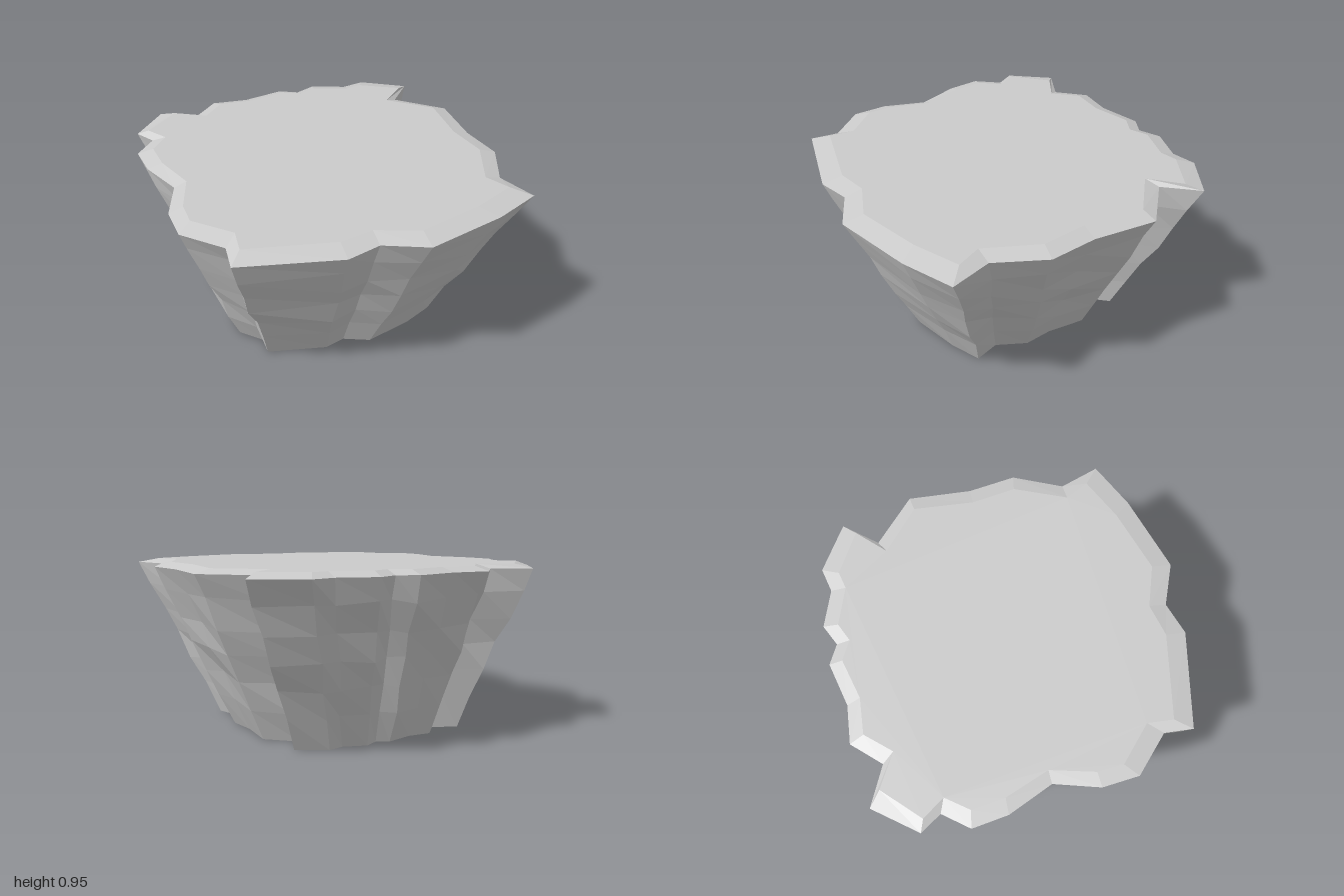
import * as THREE from 'three';

// Jagged outline of the rim, as [x, z], clockwise seen from above
const RIM = [
  [-0.795, -0.89], [-0.58, -0.79], [-0.44, -0.945], [-0.225, -0.93], [0.025, -0.995],
  [0.135, -0.94], [0.255, -1], [0.465, -0.93], [0.605, -0.965], [0.865, -0.81],
  [0.715, -0.625], [0.97, -0.4], [0.95, -0.04], [0.99, 0.23], [0.87, 0.505],
  [0.95, 0.73], [0.68, 0.86], [0.235, 0.995], [0, 0.9], [-0.185, 0.96],
  [-0.725, 0.85], [-0.715, 0.69], [-0.91, 0.505], [-0.93, 0.3], [-0.86, 0.05],
  [-0.97, -0.2], [-1, -0.4], [-0.895, -0.54], [-0.97, -0.655],
];

// Inner edge of the bevel, one point per rim point
const CAP = [
  [-0.715, -0.825], [-0.53, -0.725], [-0.41, -0.865], [-0.205, -0.855], [0.025, -0.92],
  [0.135, -0.865], [0.24, -0.915], [0.455, -0.845], [0.555, -0.87], [0.79, -0.74],
  [0.64, -0.585], [0.88, -0.385], [0.855, -0.04], [0.895, 0.215], [0.775, 0.51],
  [0.845, 0.645], [0.6, 0.765], [0.235, 0.88], [0, 0.8], [-0.185, 0.845],
  [-0.66, 0.755], [-0.65, 0.61], [-0.84, 0.435], [-0.85, 0.29], [-0.79, 0.045],
  [-0.885, -0.2], [-0.91, -0.385], [-0.82, -0.51], [-0.905, -0.63],
];

const RIM_Y = 0.93;
const CAP_Y = 0.955;
const LEVELS = [0, 0.18, 0.34, 0.5, 0.64, 0.8, RIM_Y];

function seeded(seed) {
  return () => {
    seed = (seed * 16807) % 2147483647;
    return seed / 2147483647 - 0.5;
  };
}

// Flat-faced skin between successive rings of [x, y, z] points
function skin(rings) {
  const pos = [];
  for (let i = 0; i < rings.length - 1; i++) {
    const low = rings[i], high = rings[i + 1];
    for (let j = 0; j < low.length; j++) {
      const k = (j + 1) % low.length;
      pos.push(...low[j], ...high[j], ...high[k], ...low[j], ...high[k], ...low[k]);
    }
  }
  const geo = new THREE.BufferGeometry();
  geo.setAttribute('position', new THREE.Float32BufferAttribute(pos, 3));
  geo.computeVertexNormals();
  return geo;
}

// Flat lid over an outline, facing up (1) or down (-1)
function lid(outline, y, facing) {
  const shape = new THREE.Shape(outline.map(([x, z]) => new THREE.Vector2(x, -facing * z)));
  return new THREE.ShapeGeometry(shape).rotateX(-facing * Math.PI / 2).translate(0, y, 0);
}

export function createModel() {
  const group = new THREE.Group();
  group.name = 'rockPlatform';
  const material = new THREE.MeshStandardMaterial({ color: 0xcccccc, flatShading: true });
  const add = (name, geometry) => {
    const mesh = new THREE.Mesh(geometry, material);
    mesh.name = name;
    group.add(mesh);
  };

  // Rings taper towards the base, with small chips between base and rim
  const rand = seeded(71);
  const rings = LEVELS.map((y, i) => {
    const t = y / RIM_Y;
    const s = 0.62 + 0.38 * t;
    const inner = i > 0 && i < LEVELS.length - 1;
    return RIM.map(([x, z]) => {
      const chip = inner ? 1 + rand() * 0.03 : 1;
      const rise = inner ? rand() * 0.03 : 0;
      const shift = inner ? rand() * 0.02 : 0;
      return [
        x * s * chip - 0.036 * (1 - t) + shift * z,
        y + rise,
        z * s * chip - 0.048 * (1 - t) - shift * x,
      ];
    });
  });
  add('rockWall', skin(rings));

  // Bevelled edge and flat top
  const capRing = CAP.map(([x, z]) => [x, CAP_Y, z]);
  add('bevelledEdge', skin([rings[rings.length - 1], capRing]));
  add('flatTop', lid(CAP, CAP_Y, 1));

  // Underside
  add('underside', lid(rings[0].map(([x, , z]) => [x, z]), 0, -1));

  return group;
}
